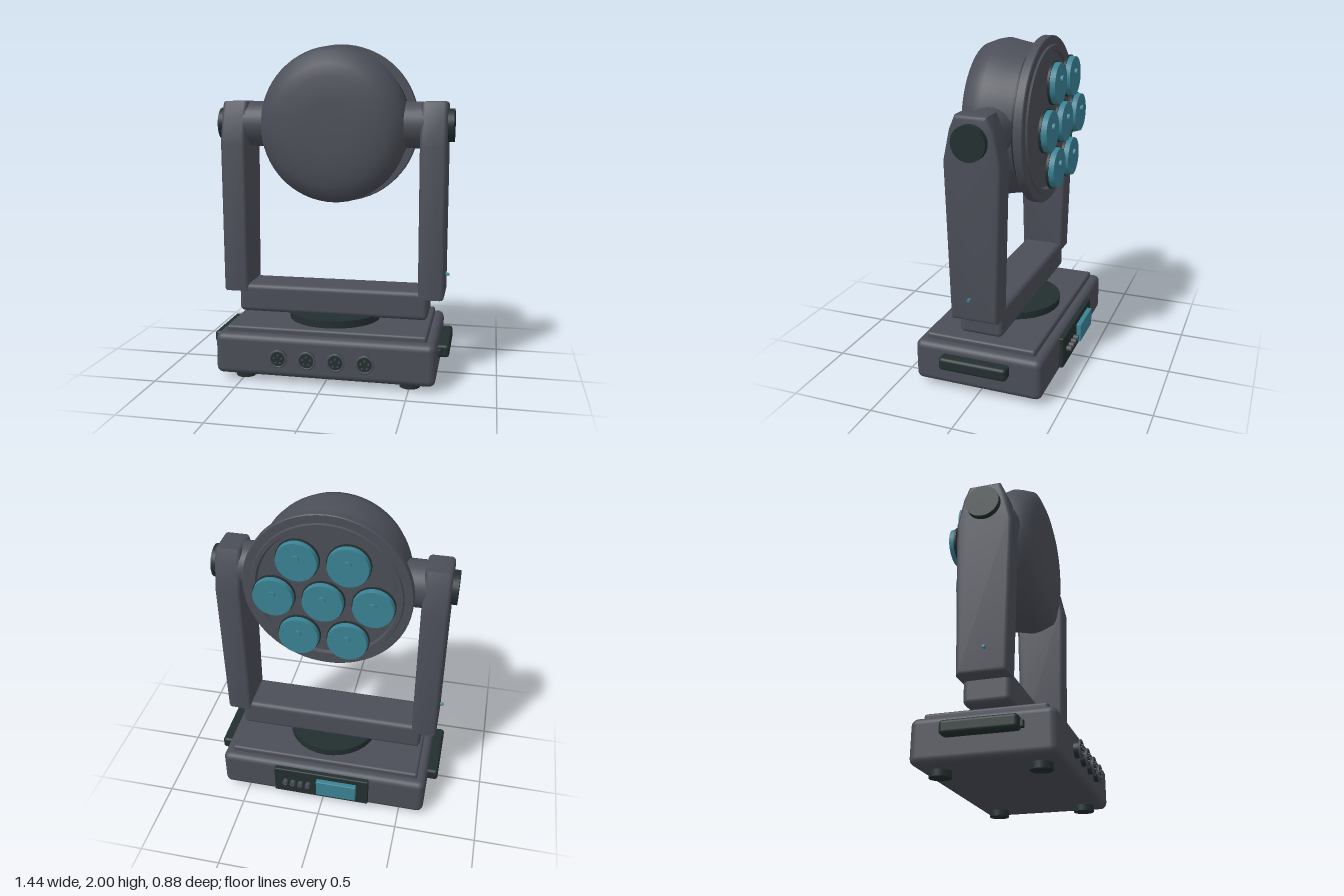
import * as THREE from 'three';
import { RoundedBoxGeometry } from 'three/addons/geometries/RoundedBoxGeometry.js';
import { toCreasedNormals } from 'three/addons/utils/BufferGeometryUtils.js';

const mat = (name, color) => {
  const m = new THREE.MeshStandardMaterial({ color });
  m.name = name;
  return m;
};

export function createModel() {
  const grey = mat('housing grey', 0x4b4e58);
  const dark = mat('dark trim', 0x232f2f);
  const teal = mat('lens teal', 0x3a8294);
  const model = new THREE.Group();
  model.name = 'movingHeadLight';

  const add = (name, geo, material, x = 0, y = 0, z = 0, parent = model) => {
    const m = new THREE.Mesh(geo, material);
    m.name = name;
    m.position.set(x, y, z);
    parent.add(m);
    return m;
  };
  const box = (w, h, d, r) => new RoundedBoxGeometry(w, h, d, 3, r);
  const cyl = (r, len, axis = 'y', seg = 32, r2 = r) => {
    const g = new THREE.CylinderGeometry(r, r2, len, seg);
    if (axis === 'x') g.rotateZ(-Math.PI / 2);
    if (axis === 'z') g.rotateX(Math.PI / 2);
    return g;
  };
  // Turned part about the z axis, from [radius, z] pairs
  const turned = (pts, crease) => {
    const g = new THREE.LatheGeometry(pts.map(([r, z]) => new THREE.Vector2(r, z)), 64);
    g.rotateX(Math.PI / 2);
    return toCreasedNormals(g, crease);
  };

  // Base with feet and turntable
  add('base', box(1.31, 0.25, 0.78, 0.04), grey, 0, 0.162, 0);
  add('baseTopPlate', box(1.2, 0.06, 0.67, 0.015), grey, 0, 0.292, 0);
  add('turntable', cyl(0.283, 0.05), dark, 0, 0.341, 0);
  for (const x of [-0.5, 0.5]) for (const z of [-0.27, 0.27])
    add('foot', cyl(0.06, 0.05), dark, x, 0.025, z);

  // Front sockets with flared rims and pins
  for (const x of [-0.258, -0.087, 0.085, 0.256]) {
    const socket = new THREE.Group();
    socket.name = 'socket';
    socket.position.set(x, 0.163, 0);
    model.add(socket);
    add('socketBody', cyl(0.044, 0.05, 'z'), dark, 0, 0, 0.4, socket);
    add('socketRim', new THREE.TorusGeometry(0.048, 0.007, 8, 32), grey, 0, 0, 0.424, socket);
    add('socketFace', cyl(0.045, 0.008, 'z'), dark, 0, 0, 0.423, socket);
    for (let i = 0; i < 5; i++) {
      const a = Math.PI / 2 + i * Math.PI * 2 / 5;
      add('socketPin', cyl(0.005, 0.014, 'z', 10), grey,
        Math.cos(a) * 0.024, Math.sin(a) * 0.024, 0.43, socket);
    }
  }

  // Rear control panel
  add('controlPanel', box(0.61, 0.195, 0.04, 0.008), dark, 0, 0.168, -0.395);
  add('screen', box(0.255, 0.115, 0.04, 0.005), teal, -0.102, 0.172, -0.425);
  for (let i = 0; i < 4; i++)
    add('button', cyl(0.016, 0.04, 'z', 16), grey, 0.083 + i * 0.049, 0.17, -0.425);

  // Yoke crossbar
  add('yokeCrossbar', box(1.17, 0.175, 0.265, 0.03), grey, 0, 0.442, 0);

  // Arm outline, drawn in z and y and extruded across x
  const bevel = 0.022;
  const half = [[0.118, 0.507], [0.142, 1.4], [0.105, 1.57], [0.078, 1.633]];
  const outline = [...half, ...half.map(([z, y]) => [-z, y]).reverse()];
  const armGeo = new THREE.ExtrudeGeometry(
    new THREE.Shape(outline.map(([z, y]) => new THREE.Vector2(z, y))),
    { depth: 0.155 - 2 * bevel, bevelSize: bevel, bevelThickness: bevel, bevelSegments: 3 });
  armGeo.translate(0, 0, -0.0775 + bevel);
  armGeo.rotateY(Math.PI / 2);
  const arm = toCreasedNormals(armGeo, 0.6);

  for (const s of [-1, 1]) {
    add(s > 0 ? 'leftArm' : 'rightArm', arm, grey, s * 0.6025, 0, 0);
    add('pivotHub', cyl(0.138, 0.16, 'x'), grey, s * 0.465, 1.515, 0);
    add('pivotCap', cyl(0.099, 0.05, 'x'), dark, s * 0.691, 1.515, 0);
    add('armIndicator', cyl(0.009, 0.04, 'x', 12), teal, s * 0.684, 0.623, 0.02);
    // Carrying handle on the base side
    add('handle', box(0.08, 0.077, 0.415, 0.02), dark, s * 0.682, 0.201, 0.003);
    add('handleStop', box(0.03, 0.04, 0.03, 0.006), dark, s * 0.662, 0.197, 0.212);
  }

  // Head
  const head = new THREE.Group();
  head.name = 'head';
  head.position.y = 1.5125;
  model.add(head);
  const shell = add('headShell', turned([
    [0.43, -0.145], [0.447, -0.05], [0.468, 0.05], [0.458, 0.1], [0.432, 0.168],
    [0.36, 0.196], [0.29, 0.212], [0.15, 0.215], [0, 0.215],
  ], 0.9), grey, 0, 0, 0, head);
  shell.scale.x = 0.965;
  add('headSeal', cyl(0.438, 0.03, 'z', 64), dark, 0, 0, -0.149, head);
  add('headRim', turned([
    [0, -0.205], [0.4, -0.205], [0.408, -0.226], [0.432, -0.226], [0.437, -0.215],
    [0.483, -0.215], [0.4875, -0.21], [0.4875, -0.166], [0.483, -0.161], [0.4, -0.161],
  ], 0.5), grey, 0, 0, 0, head);

  // Seven lenses: one in the middle and six around it
  for (let i = 0; i < 7; i++) {
    const a = i * Math.PI / 3, d = i < 6 ? 0.281 : 0;
    const lens = new THREE.Group();
    lens.name = 'lens';
    lens.position.set(Math.cos(a) * d, Math.sin(a) * d, 0);
    head.add(lens);
    add('lensBacking', cyl(0.123, 0.014, 'z', 40), dark, 0, 0, -0.283, lens);
    add('lensDisc', cyl(0.118, 0.035, 'z', 40, 0.114), teal, 0, 0, -0.304, lens);
    add('lensNub', cyl(0.02, 0.025, 'z', 16), teal, 0, 0.025, -0.324, lens);
  }
  return model;
}
